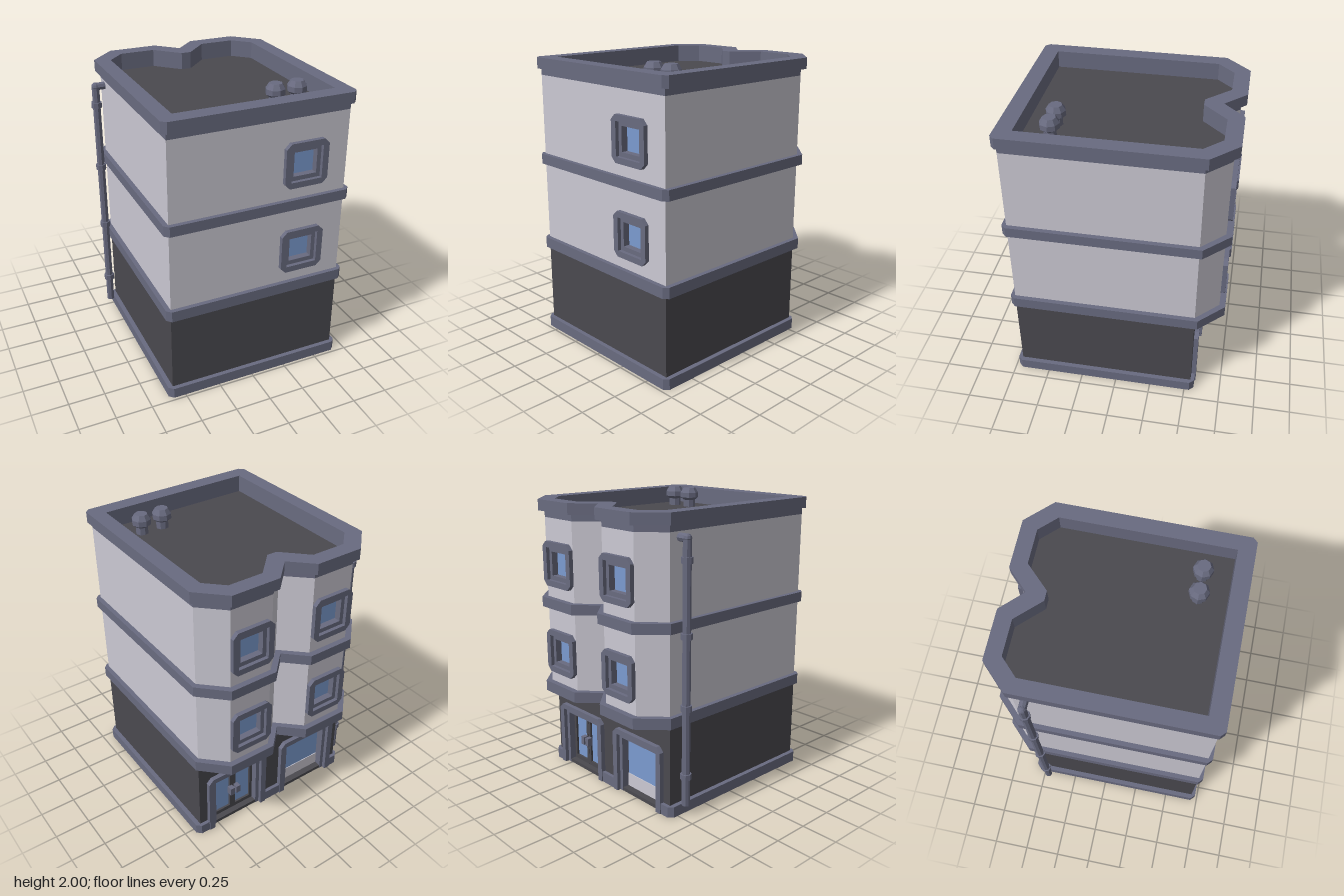
import * as THREE from 'three';

const mat = (name, color) => {
  const m = new THREE.MeshStandardMaterial({ color });
  m.name = name;
  return m;
};

export function createModel() {
  const trim = mat('slate trim', 0x696b80);
  const wall = mat('pale wall', 0xcbc9d3);
  const dark = mat('charcoal', 0x4a494f);
  const glass = mat('blue glass', 0x7b9bd0);

  const model = new THREE.Group();
  model.name = 'building';

  const add = (parent, name, geo, material, x = 0, y = 0, z = 0) => {
    const m = new THREE.Mesh(geo, material);
    m.name = name;
    m.position.set(x, y, z);
    parent.add(m);
    return m;
  };
  const group = (parent, name) => {
    const g = new THREE.Group();
    g.name = name;
    parent.add(g);
    return g;
  };
  const flat = (geo) => {
    const g = geo.toNonIndexed();
    g.computeVertexNormals();
    return g;
  };
  const poly = (pts) => new THREE.Shape(pts.map(([x, y]) => new THREE.Vector2(x, y)));
  const rect = (cx, y0, y1, w) => [[cx - w / 2, y0], [cx + w / 2, y0], [cx + w / 2, y1], [cx - w / 2, y1]];
  const extrude = (shape, depth) => new THREE.ExtrudeGeometry(shape, { depth, bevelEnabled: false });
  const shapeWith = (pts, ...holes) => {
    const s = poly(pts);
    holes.forEach((h) => s.holes.push(poly(h)));
    return s;
  };

  // Plan outlines are lists of [x, z]
  const plan = (pts) => pts.map(([x, z]) => [x, -z]);
  const slab = (name, material, y0, y1, outline, ...holes) => {
    const geo = extrude(shapeWith(plan(outline), ...holes.map(plan)), y1 - y0);
    add(model, name, geo.rotateX(-Math.PI / 2), material, 0, y0, 0);
  };

  const CX = 0.0325; // symmetry axis of the two bays
  const mirrored = (half) => [
    ...half.map(([x, z]) => [CX + x, z]),
    ...half.slice().reverse().filter(([x]) => x > 0).map(([x, z]) => [CX - x, z]),
  ];
  const wallPlan = mirrored([[0.615, 0.7], [0.615, -0.54], [0.4625, -0.69], [0.1575, -0.69], [0, -0.54]]);
  const bandPlan = mirrored([[0.617, 0.73], [0.647, 0.7], [0.647, -0.56], [0.478, -0.73], [0.142, -0.73], [0, -0.59]]);
  const innerPlan = mirrored([[0.543, 0.617], [0.543, -0.512], [0.43, -0.625], [0.19, -0.625], [0.034, -0.467]]);
  const groundPlan = mirrored([[0.615, 0.7], [0.615, -0.54]]);
  // Base outline is notched at the entrance and the shop window
  const basePlan = mirrored([
    [0.617, 0.73], [0.647, 0.7], [0.647, -0.535], [0.617, -0.565],
    [0.51, -0.565], [0.51, -0.47], [0.11, -0.47], [0.11, -0.565],
  ]);

  slab('base', trim, 0, 0.075, basePlan);
  slab('lowerBand', trim, 0.625, 0.7, bandPlan);
  slab('middleBand', trim, 1.245, 1.315, bandPlan);
  slab('corniceStrip', trim, 1.86, 1.905, wallPlan, innerPlan);
  slab('parapet', trim, 1.905, 1.98, bandPlan, innerPlan);
  add(model, 'roofFloor', new THREE.ShapeGeometry(poly(plan(innerPlan))).rotateX(-Math.PI / 2), dark, 0, 1.862, 0);

  // Wall panel from a to b: local x runs along the wall, local z points outward
  const panel = (name, material, a, b, y0, y1, holes = []) => {
    const dx = b[0] - a[0], dz = b[1] - a[1];
    const len = Math.hypot(dx, dz);
    const g = group(model, name);
    g.position.set(a[0], 0, a[1]);
    g.rotation.y = Math.atan2(-dz, dx);
    add(g, 'wallFace', new THREE.ShapeGeometry(shapeWith(rect(len / 2, y0, y1, len), ...holes)), material);
    return g;
  };

  // Square window with a chamfered surround and a stepped recess
  const octagon = (w, h, c) => [
    [-w + c, -h], [w - c, -h], [w, -h + c], [w, h - c], [w - c, h], [-w + c, h], [-w, h - c], [-w, -h + c],
  ];
  const addWindow = (parent, u, y) => {
    const g = group(parent, 'window');
    g.position.set(u, y, 0);
    const mid = rect(0, -0.112, 0.112, 0.22), pane = rect(0, -0.082, 0.082, 0.164);
    add(g, 'windowSurround', extrude(shapeWith(octagon(0.152, 0.153, 0.035), mid), 0.03), trim);
    add(g, 'windowFrame', extrude(shapeWith(mid, pane), 0.05), trim, 0, 0, -0.045);
    add(g, 'windowPane', new THREE.PlaneGeometry(0.17, 0.17), glass, 0, 0, -0.04);
  };

  // Upper storeys: one panel per side, windows on the front and on both bays
  const floorYs = [0.935, 1.552];
  wallPlan.forEach((a, i) => {
    const b = wallPlan[(i + 1) % wallPlan.length];
    const isFront = a[1] > 0.6 && b[1] > 0.6;
    const isBay = a[1] < -0.6 && b[1] < -0.6;
    const u = isFront ? 0.925 : 0.1525;
    const ys = isFront || isBay ? floorYs : [];
    const p = panel('upperWall', wall, a, b, 0.7, 1.86, ys.map((y) => rect(u, y - 0.112, y + 0.112, 0.22)));
    ys.forEach((y) => addWindow(p, u, y));
  });

  // Ground floor with two openings in the back
  const openings = [0.305, 0.925];
  let back;
  groundPlan.forEach((a, i) => {
    const b = groundPlan[(i + 1) % groundPlan.length];
    const isBack = a[1] < 0 && b[1] < 0;
    const holes = isBack ? openings.map((u) => rect(u, 0.004, 0.43, 0.4)) : [];
    const p = panel('groundWall', dark, a, b, 0, 0.63, holes);
    if (isBack) back = p;
  });

  // Upside-down U standing on the ground, with chamfered outer corners
  const portal = (w, h, iw, ih, c) => poly([
    [-w, 0], [-iw, 0], [-iw, ih], [iw, ih], [iw, 0], [w, 0], [w, h - c], [w - c, h], [-w + c, h], [-w, h - c],
  ]);
  const addPortal = (name, u) => {
    const g = group(back, name);
    g.position.x = u;
    add(g, 'portalSurround', extrude(portal(0.243, 0.468, 0.2, 0.43, 0.035), 0.032), trim);
    add(g, 'portalFrame', extrude(portal(0.201, 0.431, 0.172, 0.4, 0), 0.06), trim, 0, 0, -0.055);
    add(g, 'threshold', new THREE.BoxGeometry(0.4, 0.025, 0.075), dark, 0, 0.0125, -0.0355);
    return g;
  };

  // Double door
  const door = addPortal('entrance', openings[0]);
  for (const s of [-1, 1]) {
    const leaf = shapeWith(rect(s * 0.086, 0.02, 0.402, 0.17), rect(s * 0.086, 0.055, 0.378, 0.125));
    add(door, 'doorLeaf', extrude(leaf, 0.025), dark, 0, 0, -0.065);
    add(door, 'doorPane', new THREE.PlaneGeometry(0.13, 0.33), glass, s * 0.086, 0.217, -0.055);
    add(door, 'doorHandle', new THREE.BoxGeometry(0.034, 0.06, 0.04), trim, s * 0.024, 0.22, -0.022);
  }

  // Shop window with a pale panel under the pane
  const shop = addPortal('shopWindow', openings[1]);
  add(shop, 'shopPane', new THREE.PlaneGeometry(0.346, 0.29), glass, 0, 0.26, -0.05);
  add(shop, 'shopPanel', new THREE.BoxGeometry(0.344, 0.1, 0.01), wall, 0, 0.07, -0.05);

  // Drainpipe with collars and an elbow into the wall
  const pipe = group(model, 'drainpipe');
  pipe.position.set(-0.647, 0, -0.46);
  const tube = (r, h) => flat(new THREE.CylinderGeometry(r, r, h, 8));
  add(pipe, 'pipe', tube(0.027, 1.745), trim, 0, 0.9525, 0);
  add(pipe, 'pipeElbow', flat(new THREE.SphereGeometry(0.029, 8, 6)), trim, 0, 1.825, 0);
  add(pipe, 'pipeOutlet', tube(0.027, 0.07).rotateZ(Math.PI / 2), trim, 0.035, 1.825, 0);
  for (const y of [0.285, 0.755, 1.225, 1.695]) add(pipe, 'pipeCollar', tube(0.037, 0.04), trim, 0, y, 0);

  // Roof vents
  const profile = [[0.042, 1.86], [0.042, 1.912], [0.065, 1.93], [0.065, 1.965], [0.043, 2], [0, 2]]
    .map(([r, y]) => new THREE.Vector2(r, y));
  for (const x of [0.26, 0.415]) add(model, 'roofVent', flat(new THREE.LatheGeometry(profile, 8)), trim, x, 0, 0.433);

  return model;
}
